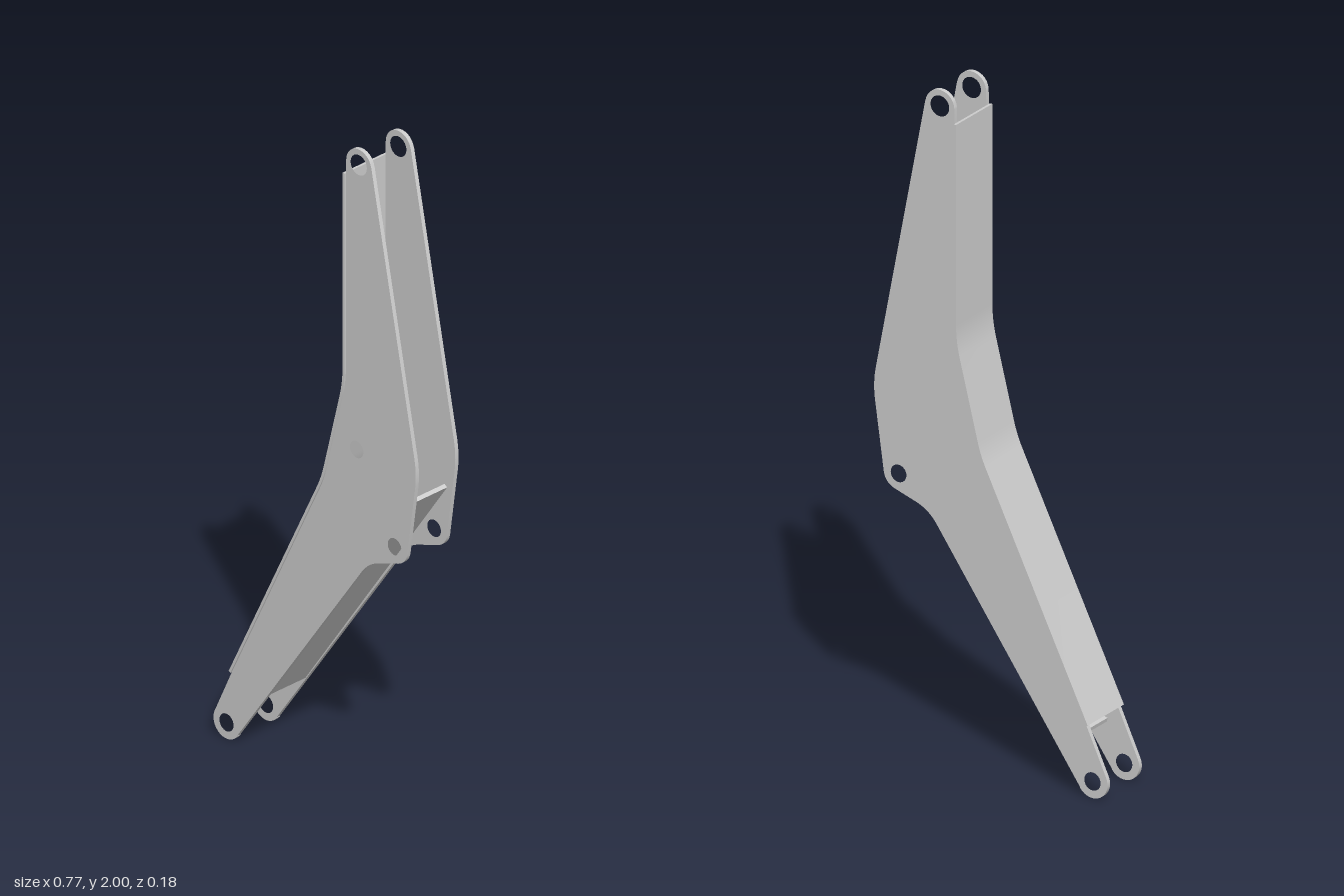
import * as THREE from 'three';
import { toCreasedNormals } from 'three/addons/utils/BufferGeometryUtils.js';

const material = new THREE.MeshStandardMaterial({ color: 0xcccccc });
const V = (x, y) => new THREE.Vector2(x, y);

// Polyline [x, y, fillet] with interior corners rounded by the fillet length
function rounded(corners) {
  const out = [];
  corners.forEach(([x, y, f], i) => {
    const p = V(x, y);
    if (!f) return out.push(p);
    const toward = ([qx, qy]) => V(qx, qy).sub(p).setLength(f).add(p);
    const a = toward(corners[i - 1]), b = toward(corners[i + 1]);
    out.push(...new THREE.QuadraticBezierCurve(a, p, b).getPoints(8));
  });
  return out;
}

// Points of a circular arc running clockwise from angle a to angle b (degrees)
function arc(cx, cy, r, a, b, n = 16) {
  return Array.from({ length: n + 1 }, (_, i) => {
    const t = THREE.MathUtils.degToRad(a + (b - a) * i / n);
    return V(cx + r * Math.cos(t), cy + r * Math.sin(t));
  });
}

// Closed strip of sheet metal: the path plus its mitred offset
function strip(path, thickness) {
  const normal = i => {
    const d = path[i + 1].clone().sub(path[i]).normalize();
    return V(d.y, -d.x);
  };
  const offset = path.map((p, i) => {
    const n0 = normal(Math.max(i - 1, 0));
    const n1 = normal(Math.min(i, path.length - 2));
    const m = n0.clone().add(n1).normalize();
    return m.multiplyScalar(thickness / m.dot(n1)).add(p);
  });
  return [...path, ...offset.reverse()];
}

// Extrusion along z, centred on z
function sheet(name, points, width, z = 0, holes = []) {
  const shape = new THREE.Shape(points);
  for (const [x, y, r] of holes) {
    shape.holes.push(new THREE.Path().absarc(x, y, r, 0, Math.PI * 2, true));
  }
  const geo = new THREE.ExtrudeGeometry(shape, { depth: width, bevelEnabled: false, curveSegments: 16 });
  geo.translate(0, 0, z - width / 2);
  const mesh = new THREE.Mesh(toCreasedNormals(geo, 0.5), material);
  mesh.name = name;
  return mesh;
}

export function createModel() {
  const group = new THREE.Group();
  group.name = 'linkArm';

  // Bent rear edge shared by the side plates and the cover
  const rearEdge = rounded([
    [0.119, 1.91], [0.119, 1.262, 0.05], [0.037, 0.937, 0.04], [-0.318, 0.212],
  ]);

  // Side plates: eyes at both ends, a pivot lug and a central bore
  const outline = [
    ...arc(0.168, 1.952, 0.048, 180, 11),
    ...rounded([[0.216, 1.96], [0.39, 1.072, 0.05], [0.354, 0.815]]),
    ...arc(0.305, 0.82, 0.049, -8, -70, 8),
    ...rounded([[0.32, 0.773], [0.205, 0.735, 0.045], [-0.298, 0.022]]),
    ...arc(-0.338, 0.05, 0.05, -35, -206),
    ...[...rearEdge].reverse(),
  ];
  const holes = [[0.168, 1.952, 0.031], [0.16, 1.07, 0.026], [0.305, 0.82, 0.026], [-0.338, 0.05, 0.027]];
  for (const [name, side] of [['frontSidePlate', 1], ['backSidePlate', -1]]) {
    group.add(sheet(name, outline, 0.013, side * 0.0785, holes));
  }

  // Cover strip wrapped over the rear edges, slightly wider than the plates
  group.add(sheet('rearCover', strip(rearEdge, 0.008), 0.18));

  // Inner web along the lower edge, with a lip folded at its foot
  const web = [V(0.355, 0.964), V(-0.188, 0.183), V(-0.28, 0.16)];
  group.add(sheet('innerWeb', strip(web, 0.0125), 0.144));

  return group;
}
